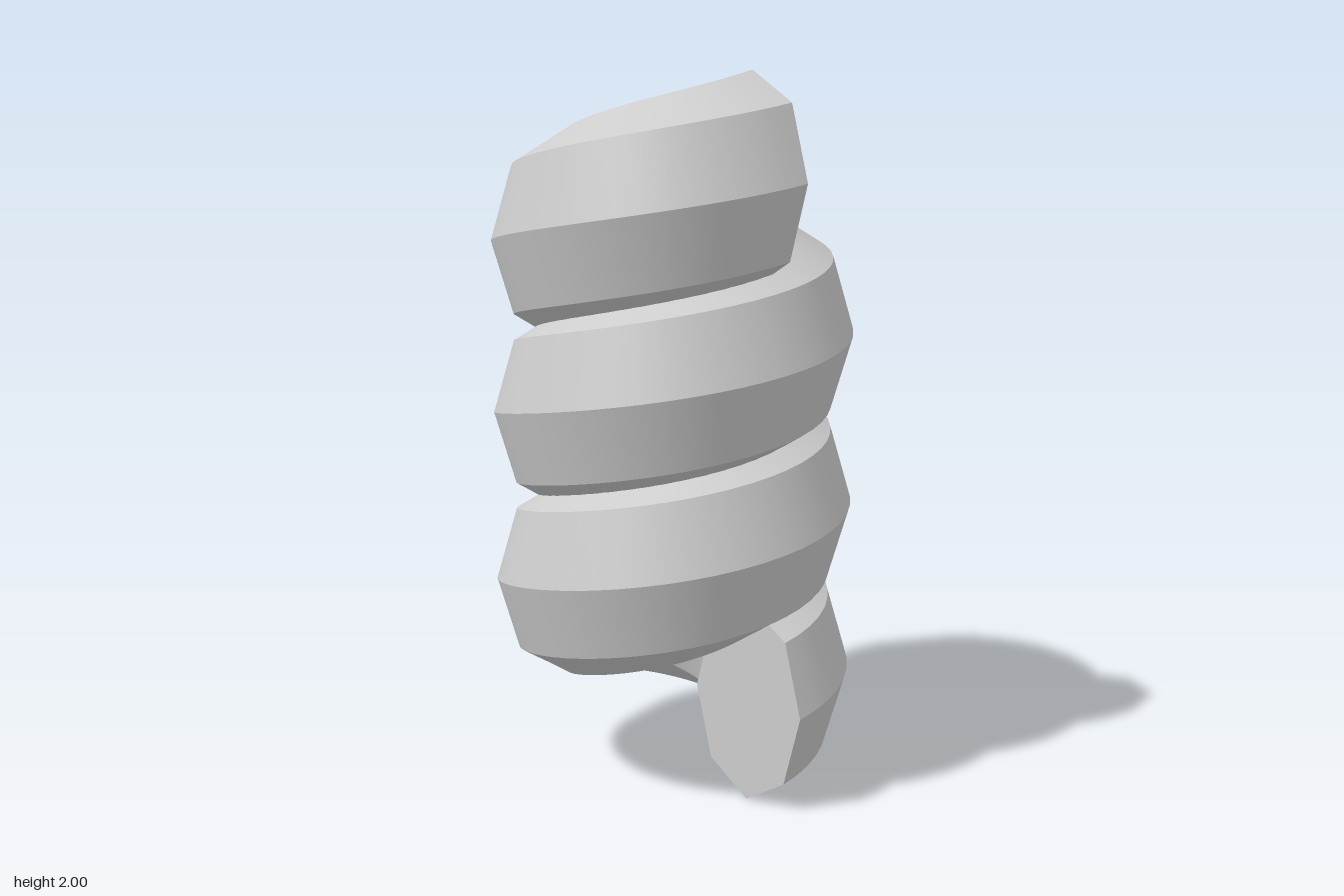
import * as THREE from 'three';

const TURNS = 3, STEPS = 48 * TURNS, SIDES = 8;
const RING = 0.3, HALF_WIDTH = 0.2, HALF_HEIGHT = 2 / 7;
const PITCH = (2 - 2 * HALF_HEIGHT) / TURNS;

// Corner of the tall octagonal section at a given step along the helix
function corner(step, side) {
  const t = (step / STEPS) * TURNS * Math.PI * 2;
  const a = (side / SIDES) * Math.PI * 2;
  const r = RING + HALF_WIDTH * Math.cos(a);
  const y = HALF_HEIGHT * (1 + Math.sin(a)) + (PITCH * t) / (Math.PI * 2);
  return [r * Math.cos(t), y, -r * Math.sin(t)];
}

function build(positions, index) {
  const g = new THREE.BufferGeometry();
  g.setAttribute('position', new THREE.Float32BufferAttribute(positions, 3));
  g.setIndex(index);
  g.computeVertexNormals();
  return g;
}

// Eight separate bands: smooth along the coil, sharp between bands
function coilGeometry() {
  const positions = [], index = [];
  for (let side = 0; side < SIDES; side++) {
    const base = positions.length / 3;
    for (let i = 0; i <= STEPS; i++) {
      positions.push(...corner(i, side), ...corner(i, side + 1));
      if (i === STEPS) continue;
      const a = base + i * 2, b = a + 1, c = a + 2, d = a + 3;
      index.push(a, c, b, b, c, d);
    }
  }
  return build(positions, index);
}

// Flat octagon closing one end of the coil
function capGeometry(step, flip) {
  const positions = [], index = [];
  for (let s = 0; s < SIDES; s++) positions.push(...corner(step, s));
  for (let s = 1; s < SIDES - 1; s++) index.push(0, ...(flip ? [s + 1, s] : [s, s + 1]));
  return build(positions, index);
}

export function createModel() {
  const model = new THREE.Group();
  model.name = 'helicalSpring';
  const material = new THREE.MeshStandardMaterial({ color: 0xcccccc });
  const add = (name, geometry) => {
    const mesh = new THREE.Mesh(geometry, material);
    mesh.name = name;
    model.add(mesh);
  };
  add('coil', coilGeometry());
  add('bottomEnd', capGeometry(0, false));
  add('topEnd', capGeometry(STEPS, true));
  return model;
}
